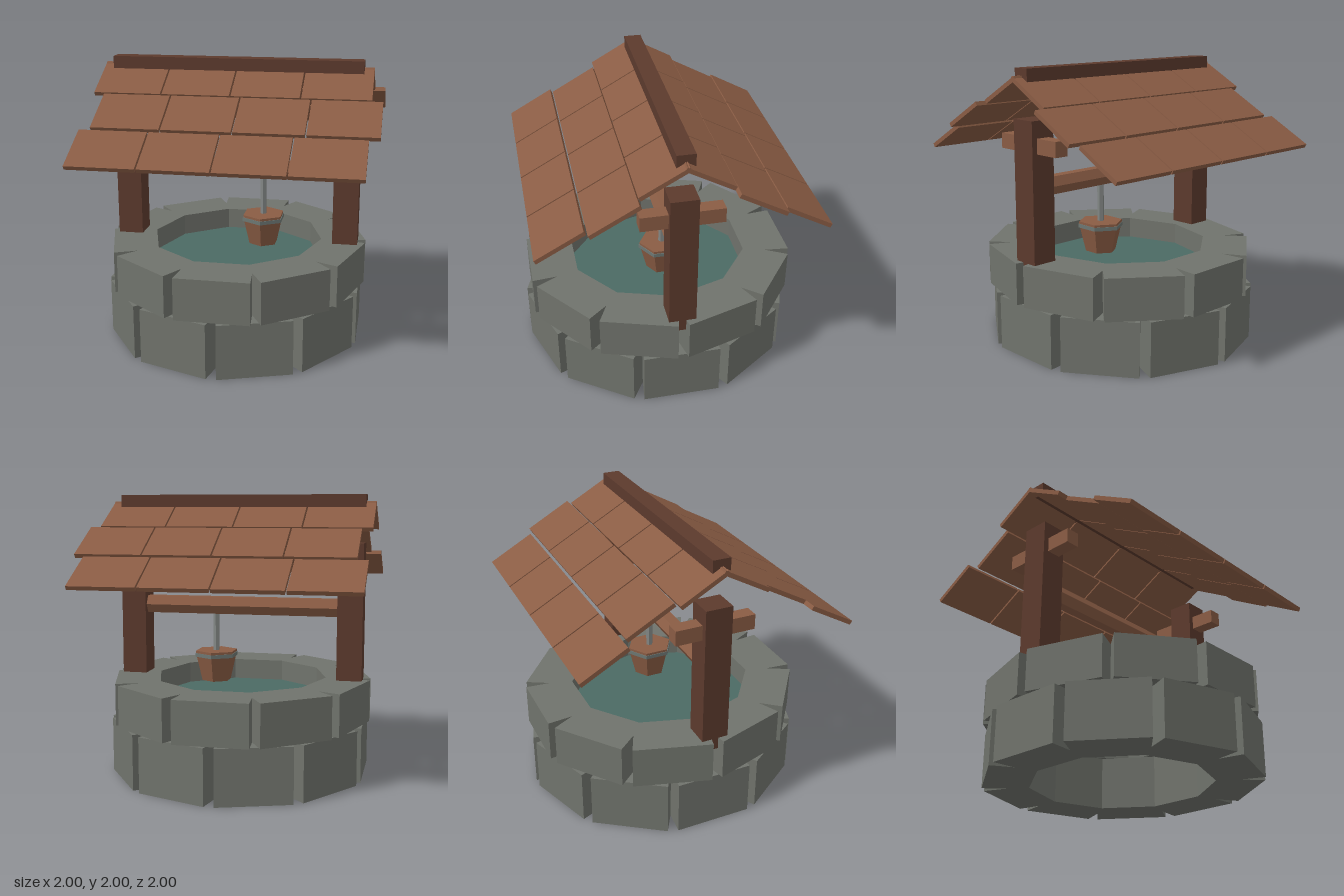
import * as THREE from 'three';

const mat = (name, color) => {
  const m = new THREE.MeshStandardMaterial({ color });
  m.name = name;
  return m;
};

export function createModel() {
  const stone = mat('grey stone', 0x70736c);
  const darkWood = mat('dark wood', 0x5c3a2d);
  const wood = mat('brown wood', 0x8a5c44);
  const water = mat('water', 0x4b6a64);
  const rope = mat('rope', 0x828684);
  const iron = mat('iron band', 0x6c7672);

  const model = new THREE.Group();
  const CX = -0.037;      // centre of the well in x
  const SQUEEZE = 0.945;  // round parts are slightly narrower in x

  function add(name, geometry, material, x = 0, y = 0, z = 0, parent = model) {
    const mesh = new THREE.Mesh(geometry, material);
    mesh.name = name;
    mesh.position.set(x, y, z);
    parent.add(mesh);
    return mesh;
  }
  // box given by its limits
  function box(name, material, x0, x1, y0, y1, z0, z1) {
    return add(name, new THREE.BoxGeometry(x1 - x0, y1 - y0, z1 - z0), material,
      (x0 + x1) / 2, (y0 + y1) / 2, (z0 + z1) / 2);
  }
  // faceted cylinder with hard edges
  function facets(rTop, rBottom, height, sides) {
    const g = new THREE.CylinderGeometry(rTop, rBottom, height, sides).toNonIndexed();
    g.computeVertexNormals();
    return g;
  }

  // Stone courses: ten blocks with V-shaped joints on the outside
  function course(name, y0, y1, turn) {
    const half = 0.0375, step = Math.PI / 5;
    const at = (r, a) => new THREE.Vector2(r * Math.cos(a), r * Math.sin(a));
    const outer = [], inner = [];
    for (let i = 0; i < 10; i++) {
      const a = turn + i * step;
      outer.push(at(1, a - half), at(0.825, a), at(1, a + half));
      inner.push(at(0.66, a));
    }
    const shape = new THREE.Shape(outer);
    shape.holes.push(new THREE.Path(inner));
    const g = new THREE.ExtrudeGeometry(shape, { depth: y1 - y0, bevelEnabled: false });
    g.rotateX(-Math.PI / 2);
    g.scale(SQUEEZE, 1, 1);
    add(name, g, stone, CX, y0, 0);
  }
  course('lowerStoneCourse', 0, 0.388, Math.PI / 10);
  course('upperStoneCourse', 0.388, 0.685, 0);

  const pool = facets(0.69, 0.69, 0.02, 10);
  pool.rotateY(Math.PI / 10);
  pool.scale(SQUEEZE, 1, 1);
  add('waterSurface', pool, water, CX, 0.52, 0);

  // Posts with their short cross beams
  for (const side of [-1, 1]) {
    const x = CX + side * 0.799;
    const label = side > 0 ? 'left' : 'right';
    box(label + 'Post', darkWood, x - 0.09, x + 0.09, 0.6, 1.662, -0.095, 0.095);
    box(label + 'CrossBeam', wood, x - 0.05, x + 0.05, 1.44, 1.545, -0.282, 0.282);
  }

  // Winding bar, a hexagon with an edge to the front
  const bar = facets(0.072, 0.072, 1.46, 6);
  bar.rotateZ(Math.PI / 2);
  add('windingBar', bar, wood, CX, 1.197, 0);

  // Rope and bucket
  const bucket = new THREE.Group();
  bucket.name = 'bucket';
  bucket.position.set(0.155, 0, 0);
  bucket.scale.x = SQUEEZE;
  model.add(bucket);
  const turned = (name, rTop, rBottom, y0, y1, material) =>
    add(name, facets(rTop, rBottom, y1 - y0, 6), material, 0, (y0 + y1) / 2, 0, bucket);
  turned('rope', 0.025, 0.025, 0.85, 1.19, rope);
  turned('bucketBody', 0.16, 0.115, 0.64, 0.82, wood);
  turned('bucketBand', 0.172, 0.172, 0.818, 0.845, iron);
  turned('bucketRim', 0.166, 0.166, 0.845, 0.862, wood);

  // Roof: three staggered rows of four shingles on each slope
  const pitch = THREE.MathUtils.degToRad(29);
  const shingle = new THREE.BoxGeometry(0.473, 0.03, 0.362);
  const rows = [
    { z: 0.143, y: 1.851, x: -1 },
    { z: 0.465, y: 1.668, x: -0.927 },
    { z: 0.797, y: 1.478, x: -1 },
  ];
  for (const side of [-1, 1]) {
    for (const row of rows) {
      for (let i = 0; i < 4; i++) {
        const tile = add(side > 0 ? 'frontShingle' : 'backShingle', shingle, wood,
          row.x + 0.2365 + i * 0.4843, row.y, side * row.z);
        tile.rotation.x = side * pitch;
      }
    }
  }
  box('ridgeBeam', darkWood, -0.932, 0.858, 1.906, 2, -0.062, 0.062);

  return model;
}
